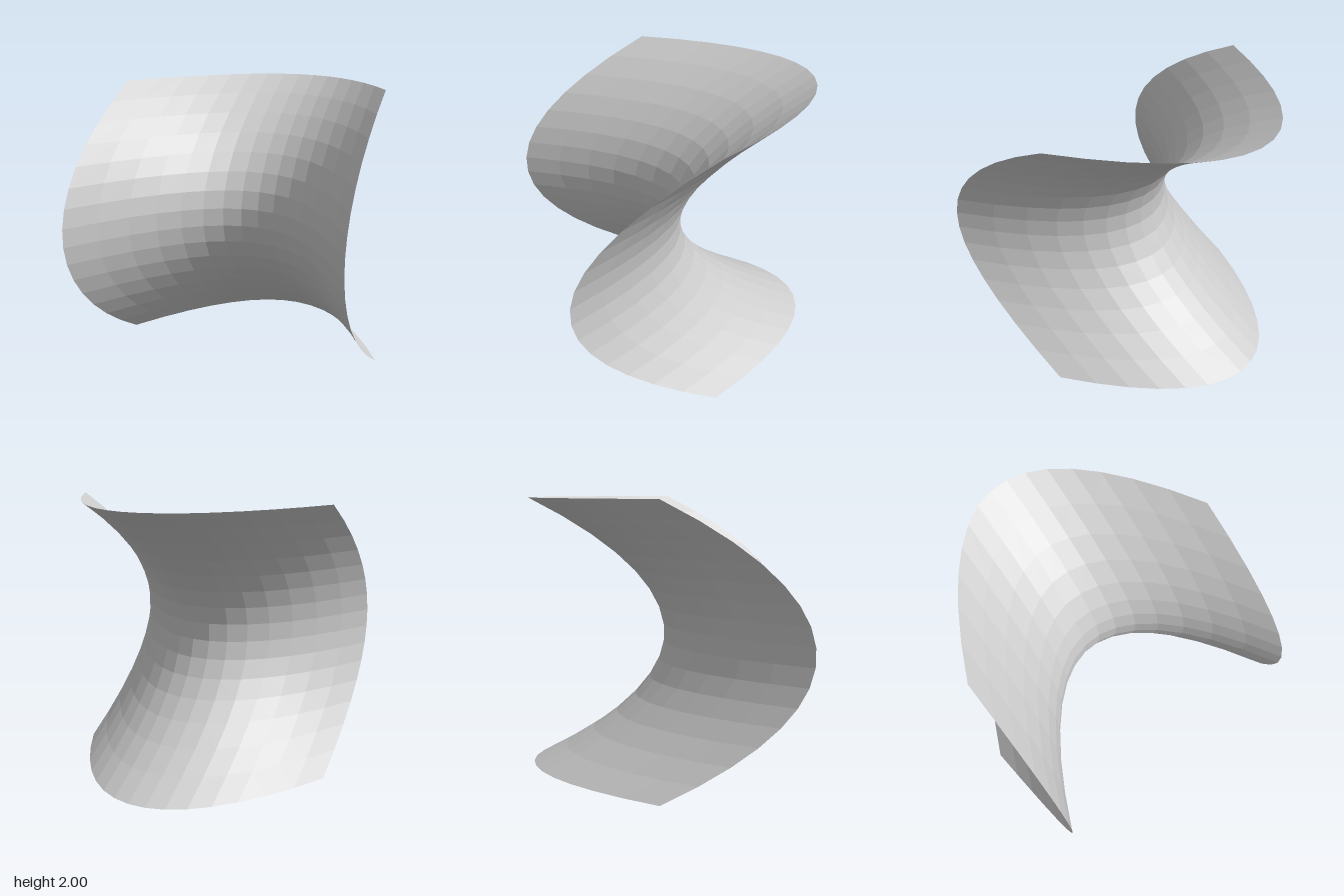
import * as THREE from 'three';

export function createModel() {
  const group = new THREE.Group();
  group.name = 'saddleSurface';

  // Flat 15 x 15 grid bent into a hyperbolic paraboloid: z = x^2 - y^2
  const geometry = new THREE.PlaneGeometry(2, 2, 15, 15);
  const pos = geometry.attributes.position;
  for (let i = 0; i < pos.count; i++) {
    const x = pos.getX(i), y = pos.getY(i);
    pos.setZ(i, x * x - y * y);
  }
  geometry.translate(0, 1, 0); // stand on the ground
  geometry.computeVertexNormals();

  const material = new THREE.MeshStandardMaterial({
    color: 0xcccccc,
    flatShading: true,
    side: THREE.DoubleSide,
  });
  const saddle = new THREE.Mesh(geometry, material);
  saddle.name = 'saddleSheet';
  group.add(saddle);
  return group;
}
